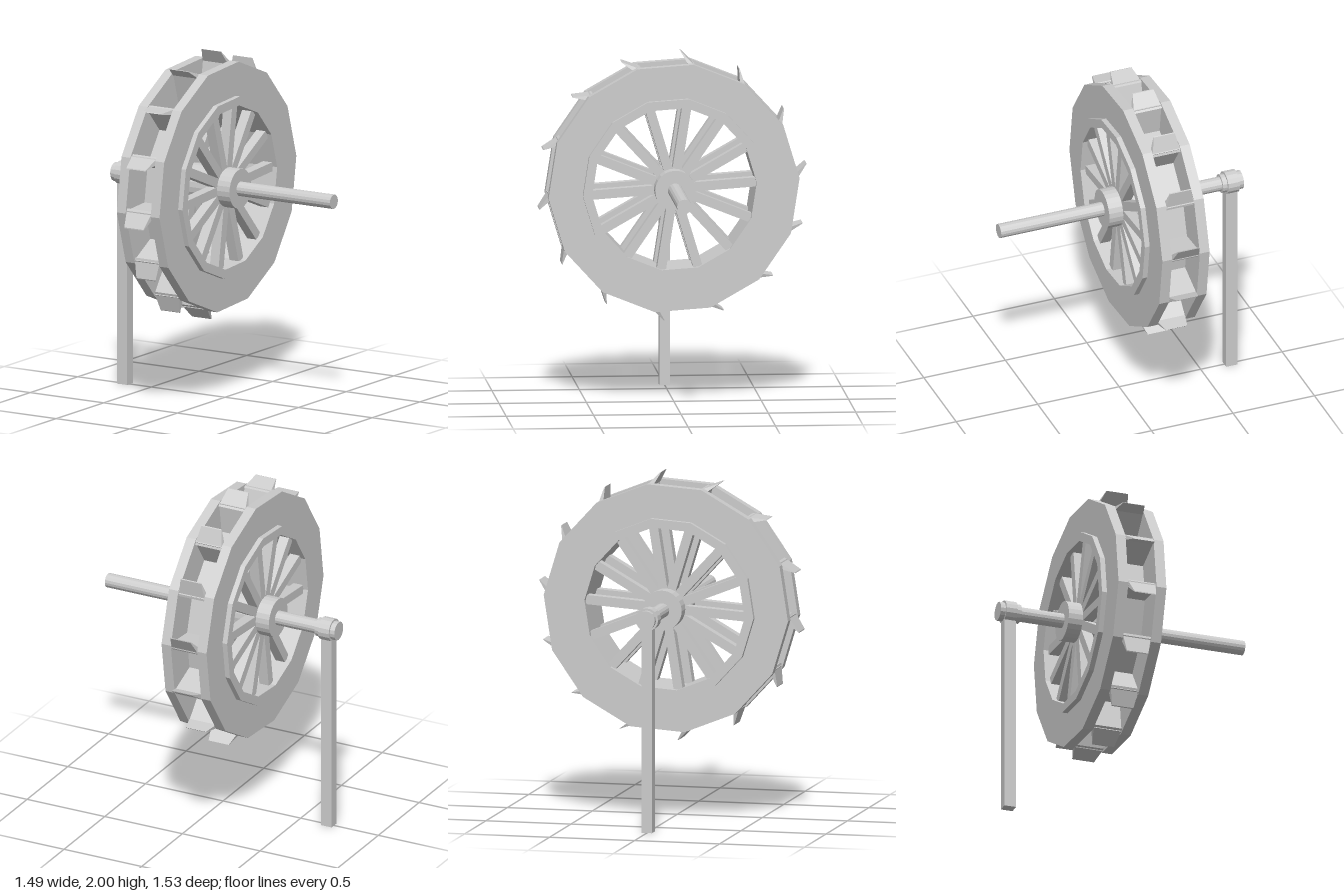
import * as THREE from 'three';

const SIDES = 14;
const STEP = (Math.PI * 2) / SIDES;
const PHASE = THREE.MathUtils.degToRad(4);
const material = new THREE.MeshStandardMaterial({ color: 0xcccccc, flatShading: true });

function add(parent, name, geometry) {
  const mesh = new THREE.Mesh(geometry, material);
  mesh.name = name;
  parent.add(mesh);
  return mesh;
}

function polygon(radius) {
  return Array.from({ length: SIDES }, (_, i) => {
    const a = PHASE + i * STEP;
    return new THREE.Vector2(Math.cos(a) * radius, Math.sin(a) * radius);
  });
}

// Flat fourteen-sided ring running along z from z0 to z1
function ring(outer, inner, z0, z1) {
  const shape = new THREE.Shape(polygon(outer));
  shape.holes.push(new THREE.Path(polygon(inner).reverse()));
  return new THREE.ExtrudeGeometry(shape, { depth: z1 - z0, bevelEnabled: false }).translate(0, 0, z0);
}

// Cylinder along z from z0 to z1
function rod(radius, z0, z1, segments = 16) {
  return new THREE.CylinderGeometry(radius, radius, z1 - z0, segments)
    .rotateX(Math.PI / 2)
    .translate(0, 0, (z0 + z1) / 2);
}

// Paddle tip: a box tapered to a thin, narrow edge and swept sideways
function paddleTip() {
  const geometry = new THREE.BoxGeometry(1, 1, 1);
  const p = geometry.attributes.position;
  for (let i = 0; i < p.count; i++) {
    const top = p.getY(i) > 0;
    const x = p.getX(i);
    // x points radially outward, y follows the rim
    p.setXYZ(
      i,
      x > 0 ? 0.77 : 0.7,
      x > 0 ? (top ? 0.072 : 0.066) : (top ? 0.017 : -0.026),
      -0.125 + p.getZ(i) * (x > 0 ? 0.13 : 0.172)
    );
  }
  return geometry;
}

export function createModel() {
  const model = new THREE.Group();
  model.name = 'waterWheel';

  // Everything on the axle is built along z, then turned so the axle lies along x
  const wheel = new THREE.Group();
  wheel.name = 'wheel';
  wheel.position.y = 1.23;
  wheel.rotation.y = Math.PI / 2;
  model.add(wheel);

  add(wheel, 'axle', rod(0.042, -0.745, 0.74));
  add(wheel, 'hub', rod(0.115, -0.355, 0.105, 24));
  add(wheel, 'bearingSleeve', rod(0.055, -0.745, -0.617));
  add(wheel, 'bearingBand', rod(0.067, -0.715, -0.645));

  // Drum and the two side plates
  add(wheel, 'drum', ring(0.524, 0.472, -0.3, 0.05));
  add(wheel, 'sidePlateRight', ring(0.72, 0.5, -0.27, -0.21));
  add(wheel, 'sidePlateLeft', ring(0.72, 0.5, -0.04, 0.02));

  // Spokes in two rows, bucket walls and paddle tips
  for (let i = 0; i < SIDES; i++) {
    const arm = new THREE.Group();
    arm.name = 'wheelSegment';
    arm.rotation.z = PHASE + i * STEP;
    wheel.add(arm);
    for (const z of [-0.24, -0.01]) {
      add(arm, 'spoke', new THREE.BoxGeometry(0.4, 0.053, 0.06)).position.set(0.29, 0, z);
    }
    add(arm, 'bucketWall', new THREE.BoxGeometry(0.21, 0.03, 0.174)).position.set(0.608, 0, -0.125);
    add(arm, 'paddleTip', paddleTip());
  }

  // Upright post carrying the bearing
  add(model, 'post', new THREE.BoxGeometry(0.07, 1.18, 0.06)).position.set(-0.68, 0.59, 0);

  return model;
}
